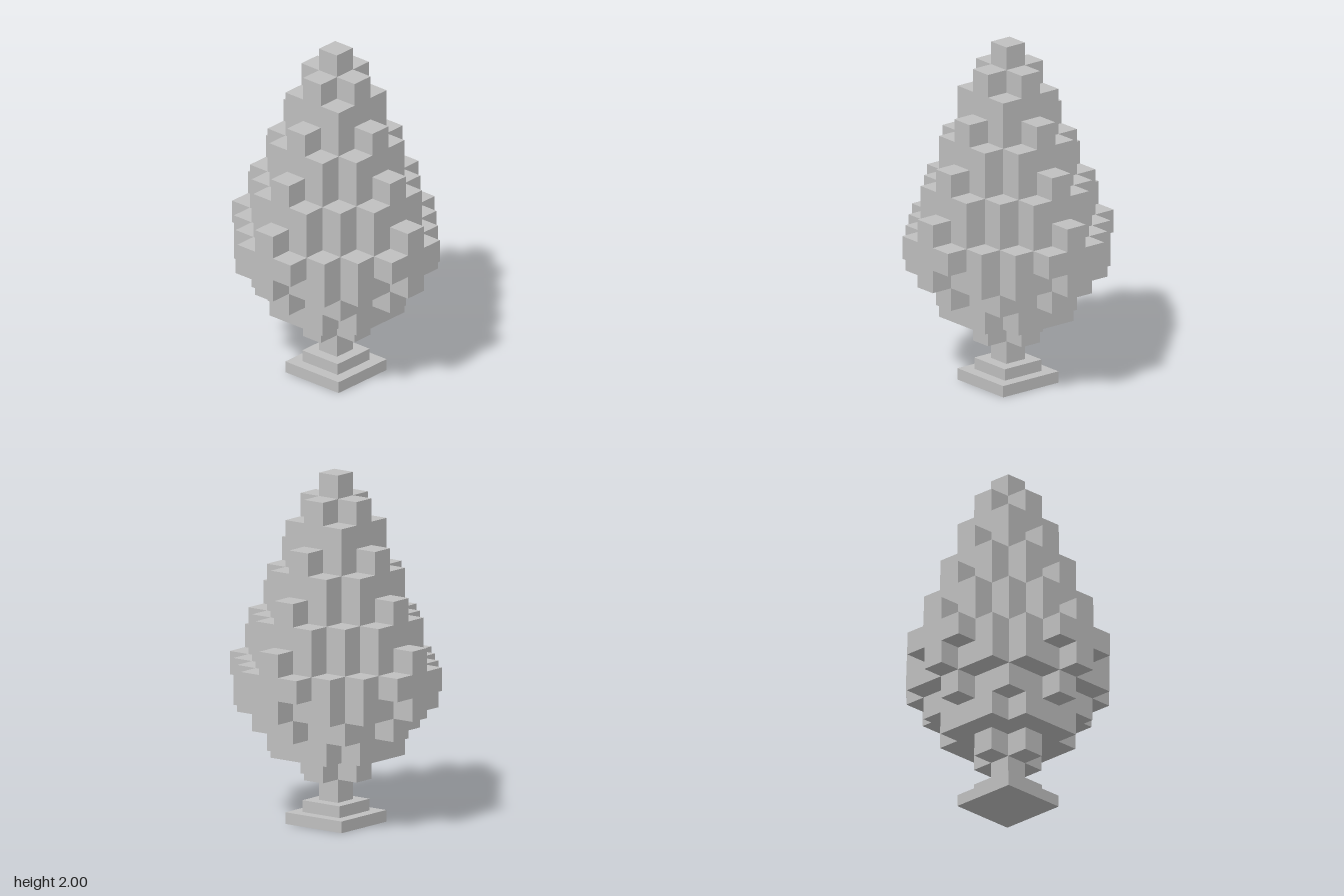
import * as THREE from 'three';

const U = 2 / 15; // edge of one cube

// Foliage layers from bottom to top: reach in cubes along z for each |x| column
const LAYERS = [
  [1, 0],
  [2, 2, 1],
  [3, 2, 2, 0],
  [4, 3, 3, 2, 0],
  [4, 4, 3, 2, 1],
  [4, 3, 2, 1, 0],
  [3, 3, 2, 1],
  [3, 2, 1, 0],
  [2, 2, 1],
  [2, 1, 0],
  [1, 1],
  [1, 0],
  [0],
];

// Stepped outline, one quadrant mirrored to all four
function layerShape(reach) {
  const quarter = [];
  reach.forEach((r, k) => {
    const next = reach[k + 1];
    if (next === r) return;
    quarter.push([k + 0.5, r + 0.5]);
    if (next !== undefined) quarter.push([k + 0.5, next + 0.5]);
  });
  const back = [...quarter].reverse();
  const points = [
    ...quarter,
    ...back.map(([x, z]) => [x, -z]),
    ...quarter.map(([x, z]) => [-x, -z]),
    ...back.map(([x, z]) => [-x, z]),
  ];
  return new THREE.Shape(points.map(([x, z]) => new THREE.Vector2(x * U, z * U)));
}

export function createModel() {
  const model = new THREE.Group();
  const grey = new THREE.MeshStandardMaterial({ color: 0xc0c0c0 });
  grey.name = 'light grey';

  // Two-step base and trunk
  const block = (name, width, height, y) => {
    const mesh = new THREE.Mesh(new THREE.BoxGeometry(width, height, width), grey);
    mesh.name = name;
    mesh.position.y = y + height / 2;
    model.add(mesh);
  };
  block('baseSlab', 3 * U, U / 2, 0);
  block('baseStep', 2 * U, U / 2, U / 2);
  block('trunk', U, U, U);

  // Blocky foliage
  const foliage = new THREE.Group();
  foliage.name = 'foliage';
  LAYERS.forEach((reach, i) => {
    const geometry = new THREE.ExtrudeGeometry(layerShape(reach), { depth: U, bevelEnabled: false });
    geometry.rotateX(-Math.PI / 2);
    const layer = new THREE.Mesh(geometry, grey);
    layer.name = `foliageLayer${i + 1}`;
    layer.position.y = (i + 2) * U;
    foliage.add(layer);
  });
  model.add(foliage);
  return model;
}
